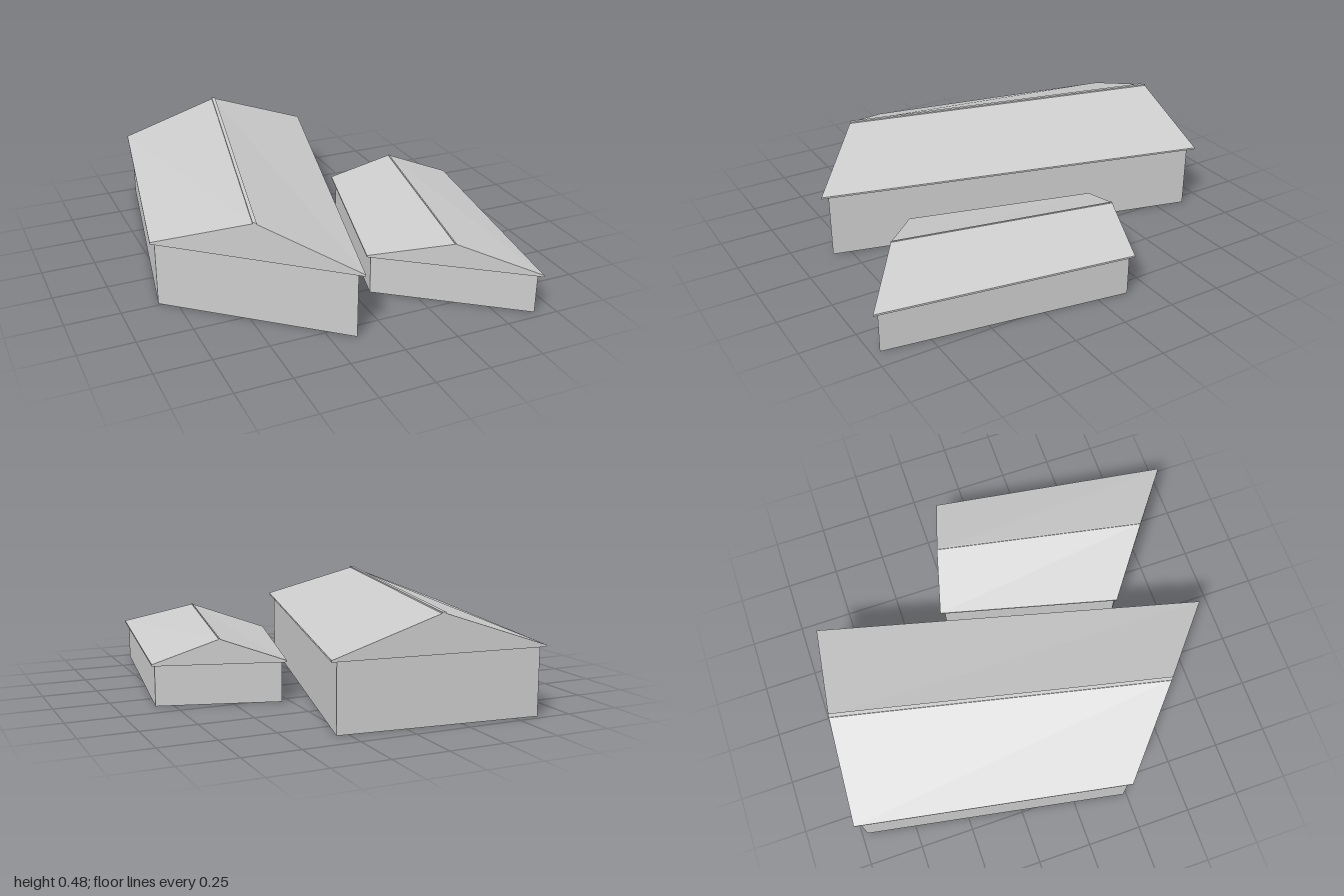
import * as THREE from 'three';

// Closed solid between a front ring and a back ring of [x, y, z] points,
// both counter-clockwise as seen from the front.
function loft(front, back) {
  const n = front.length;
  const p = [];
  for (let i = 0; i < n; i++) {
    const j = (i + 1) % n;
    p.push(...front[i], ...back[i], ...back[j], ...front[i], ...back[j], ...front[j]);
  }
  for (let i = 1; i < n - 1; i++) {
    p.push(...front[0], ...front[i], ...front[i + 1]);
    p.push(...back[0], ...back[i + 1], ...back[i]);
  }
  const g = new THREE.BufferGeometry();
  g.setAttribute('position', new THREE.Float32BufferAttribute(p, 3));
  g.computeVertexNormals();
  return g;
}

const at = ([x, z], y) => [x, y, z];

// Upright four-sided section between two plan points
const wallRing = ([l, r], y0, y1) => [at(l, y0), at(r, y0), at(r, y1), at(l, y1)];

// Gable section with a thin eave edge
const roofRing = ([l, r], ridge, eave, peak) => [
  at(l, eave - 0.005), at(r, eave - 0.005), at(r, eave + 0.003), at(ridge, peak), at(l, eave + 0.003),
];

// Plan points are [x, z], given as [left, right] pairs for the front and back ends
const SHEDS = [
  {
    name: 'largeShed', eave: 0.31, peak: 0.476, cap: 0.009,
    walls: { front: [[-0.828, 0.237], [-0.138, 0.832]], back: [[-0.605, -0.975], [0.302, -0.888]] },
    roof: { front: [[-0.85, 0.245], [-0.125, 0.87]], back: [[-0.62, -1], [0.335, -0.91]] },
    ridge: { front: [-0.485, 0.56], back: [-0.143, -0.955] },
  },
  {
    name: 'smallShed', eave: 0.19, peak: 0.298, cap: 0.003,
    walls: { front: [[0.076, 0.522], [0.656, 0.965]], back: [[0.287, -0.295], [0.828, -0.14]] },
    roof: { front: [[0.055, 0.525], [0.67, 0.99]], back: [[0.273, -0.32], [0.845, -0.158]] },
    ridge: { front: [0.363, 0.76], back: [0.56, -0.239] },
  },
];

export function createModel() {
  const model = new THREE.Group();
  model.name = 'sheds';
  const grey = new THREE.MeshStandardMaterial({ color: 0xcccccc });
  grey.name = 'lightGrey';

  for (const s of SHEDS) {
    const shed = new THREE.Group();
    shed.name = s.name;
    const add = (name, geometry) => {
      const mesh = new THREE.Mesh(geometry, grey);
      mesh.name = name;
      shed.add(mesh);
    };

    // Skewed wall block
    add('walls', loft(wallRing(s.walls.front, 0, s.eave), wallRing(s.walls.back, 0, s.eave)));

    // Overhanging gable roof
    add('roof', loft(
      roofRing(s.roof.front, s.ridge.front, s.eave, s.peak),
      roofRing(s.roof.back, s.ridge.back, s.eave, s.peak),
    ));

    // Narrow flat cap along the ridge
    const capEnd = ([x, z], [l, r]) => {
      const len = Math.hypot(r[0] - l[0], r[1] - l[1]);
      const dx = (r[0] - l[0]) / len * s.cap, dz = (r[1] - l[1]) / len * s.cap;
      return wallRing([[x - dx, z - dz], [x + dx, z + dz]], s.peak - 0.004, s.peak + 0.003);
    };
    add('ridgeCap', loft(capEnd(s.ridge.front, s.roof.front), capEnd(s.ridge.back, s.roof.back)));

    model.add(shed);
  }
  return model;
}
